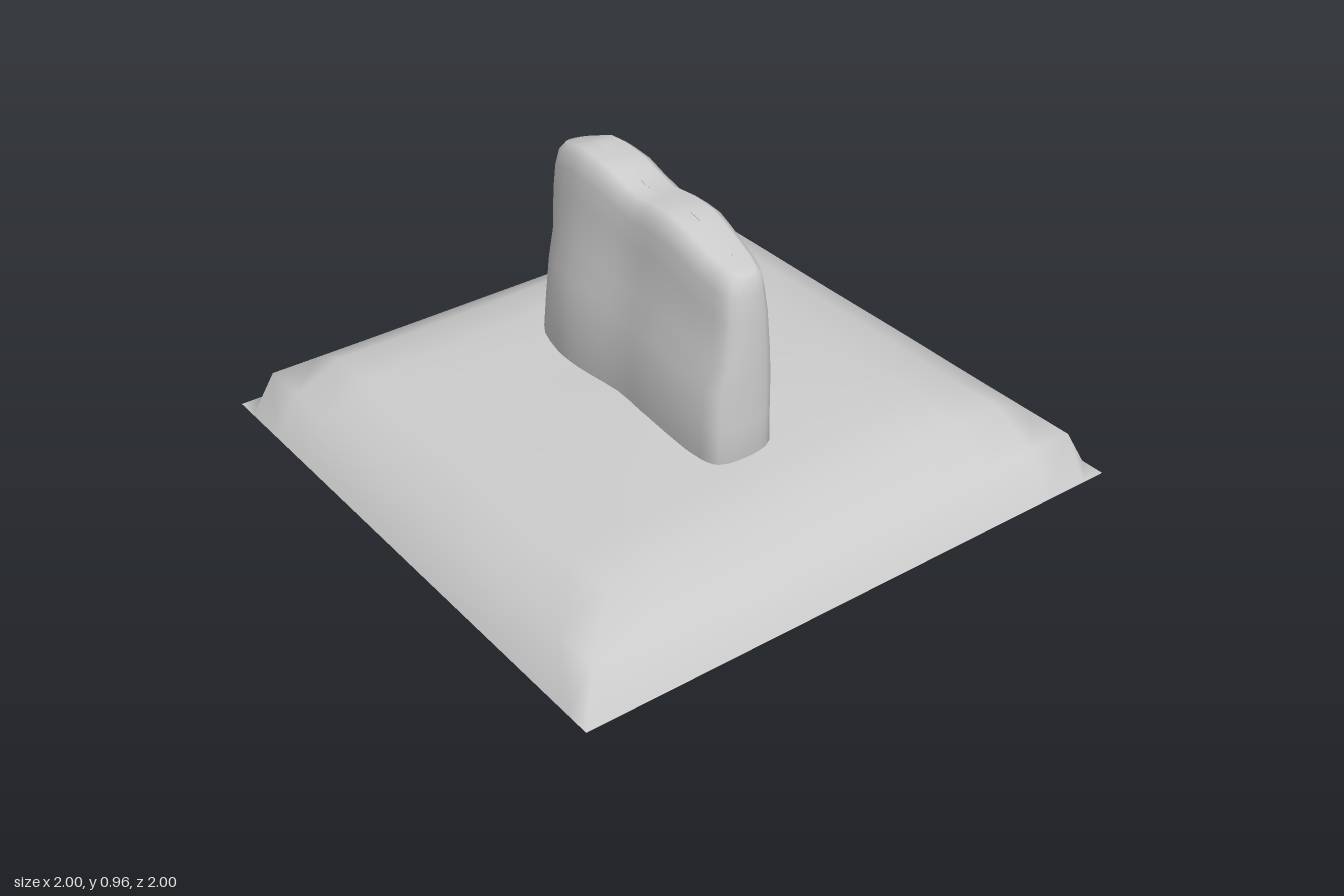
import * as THREE from 'three';

const material = new THREE.MeshStandardMaterial({ color: 0xcccccc, side: THREE.DoubleSide });

// Linear lookup in a list of [position, value] pairs sorted by position
function lookup(table, p) {
  if (p <= table[0][0]) return table[0][1];
  for (let i = 1; i < table.length; i++) {
    const [p0, v0] = table[i - 1], [p1, v1] = table[i];
    if (p <= p1) return v0 + (v1 - v0) * (p - p0) / (p1 - p0);
  }
  return table[table.length - 1][1];
}

function buildMesh(name, positions, indices) {
  const geometry = new THREE.BufferGeometry();
  geometry.setAttribute('position', new THREE.Float32BufferAttribute(positions, 3));
  geometry.setIndex(indices);
  geometry.computeVertexNormals();
  const mesh = new THREE.Mesh(geometry, material);
  mesh.name = name;
  return mesh;
}

// Square mound: an open shell whose height follows the distance to its edge
function createMound() {
  const half = [0.2, 0.4, 0.57, 0.75, 0.915, 1];
  const coords = [...half.map(v => -v).reverse(), 0, ...half];
  const n = coords.length;
  const profile = [[0, 0.005], [0.085, 0.14], [0.25, 0.22], [0.43, 0.243], [0.7, 0.252], [1, 0.258]];
  const positions = [], indices = [];
  for (const z of coords) for (const x of coords) {
    const inset = 1 - Math.max(Math.abs(x), Math.abs(z));
    const inner = Math.min(1, inset / 0.5);
    // Gentle tilt with a low hump at the back left
    const hump = Math.exp(-((x - 0.4) ** 2 + (z + 0.5) ** 2) / 0.06);
    const swell = inner * (0.013 * Math.sin(2.6 * x) + 0.005 * Math.cos(8 * (z - 0.12)) + 0.018 * hump);
    positions.push(x, lookup(profile, inset) + swell, z);
  }
  for (let j = 0; j < n - 1; j++) for (let i = 0; i < n - 1; i++) {
    const a = j * n + i, b = a + 1, c = a + n, d = c + 1;
    indices.push(a, c, b, c, d, b);
  }
  return buildMesh('mound', positions, indices);
}

// Upright slab: one outline lofted upwards to a wavy, rounded top
function createSlab() {
  const outline = [
    [-0.18, 0.44], [-0.185, 0.2], [-0.17, 0], [-0.182, -0.2], [-0.175, -0.33], [-0.12, -0.49],
    [-0.03, -0.525], [0.05, -0.5], [0.09, -0.45], [0.135, -0.32], [0.137, -0.18], [0.132, 0.08],
    [0.115, 0.28], [0.045, 0.49], [-0.05, 0.515], [-0.155, 0.495],
  ].map(([x, z]) => new THREE.Vector3(x, 0, z));
  const curve = new THREE.CatmullRomCurve3(outline, true);
  const sides = 48;
  const ridge = [
    [-0.5, 0.89], [-0.46, 0.912], [-0.31, 0.963], [-0.16, 0.953], [-0.02, 0.907],
    [0.1, 0.922], [0.2, 0.918], [0.38, 0.862], [0.49, 0.838],
  ];
  // Each ring: share of the height, then scales to the right, left, front and back
  const rings = [
    [0, 0, 0, 0.76, 0.76], [0, 0.6, 0.6, 0.85, 0.85], [0.04, 0.82, 0.82, 0.93, 0.93],
    [0.14, 1, 1, 1, 1], [0.333, 0.99, 0.99, 0.995, 0.96], [0.505, 0.95, 0.97, 0.995, 0.925],
    [0.62, 0.76, 0.93, 0.99, 0.925], [0.81, 0.68, 0.8, 0.98, 0.925], [0.914, 0.63, 0.71, 0.96, 0.91],
    [0.976, 0.55, 0.63, 0.945, 0.885], [1, 0.38, 0.45, 0.91, 0.85], [1, 0, 0, 0.86, 0.8],
  ];
  const bottom = 0.12, centre = -0.025;
  const positions = [], indices = [];
  rings.forEach(([share, right, left, front, back], r) => {
    for (let i = 0; i < sides; i++) {
      const p = curve.getPoint(i / sides);
      const z = p.z * (p.z > 0 ? front : back);
      const x = p.x - centre;
      positions.push(
        centre + x * (x < 0 ? right : left),
        bottom + (lookup(ridge, z) - bottom) * share,
        z,
      );
      if (r === rings.length - 1) continue;
      const a = r * sides + i, b = r * sides + (i + 1) % sides;
      indices.push(a, a + sides, b, b, a + sides, b + sides);
    }
  });
  return buildMesh('uprightSlab', positions, indices);
}

export function createModel() {
  const model = new THREE.Group();
  model.name = 'slabOnMound';
  model.add(createMound(), createSlab());
  return model;
}
